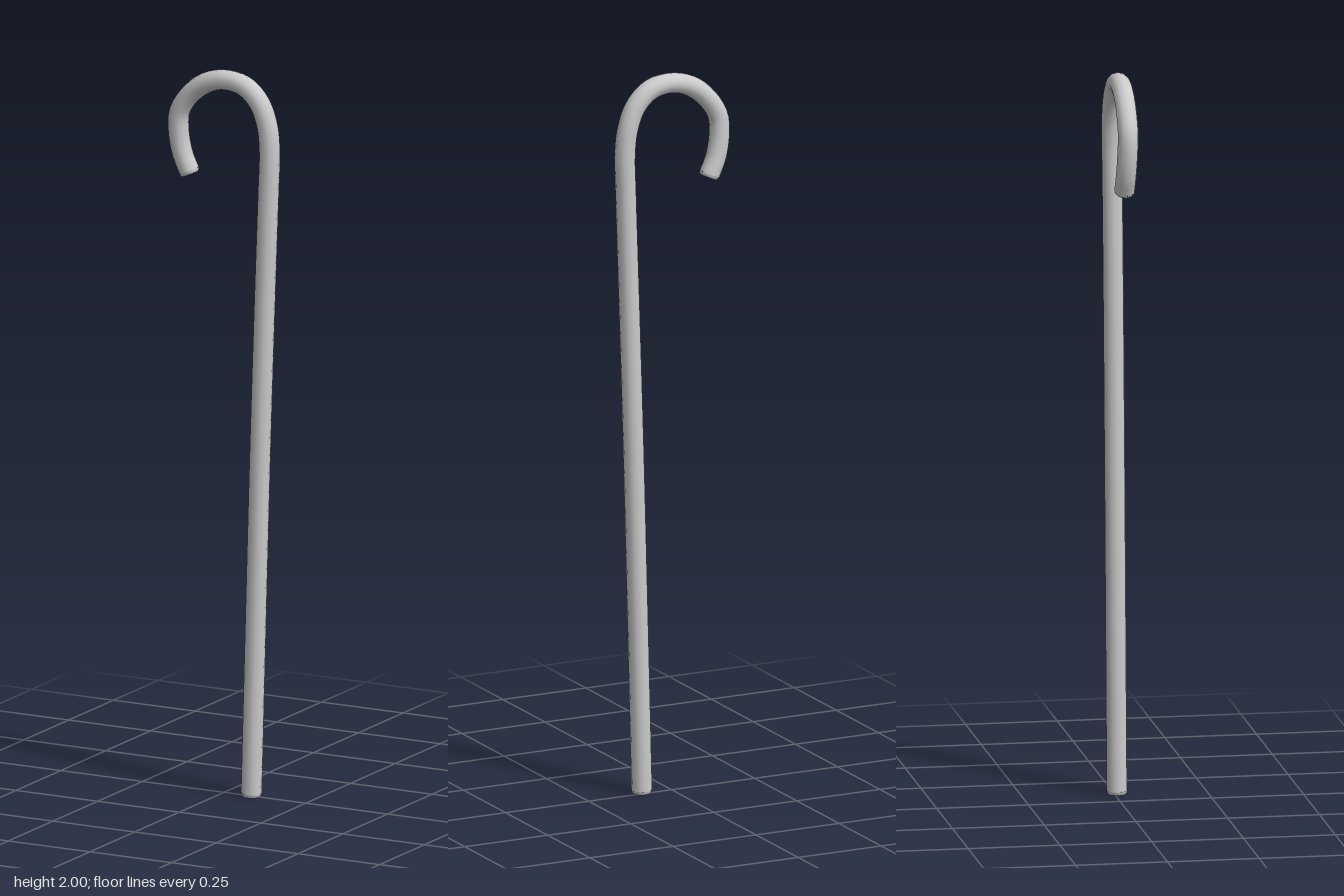
import * as THREE from 'three';

const RADIUS = 0.028;
const BEVEL = 0.01;
const SIDES = 12;

export function createModel() {
  const cane = new THREE.Group();
  cane.name = 'cane';
  const material = new THREE.MeshStandardMaterial({ color: 0xcccccc });

  // Centre line: slightly leaning shaft, then the hooked handle
  const path = new THREE.CatmullRomCurve3([
    [0.087, BEVEL, 0.006], [0.100, 0.5, 0.005], [0.114, 1.0, 0.004], [0.129, 1.45, 0.003],
    [0.137, 1.68, 0.002], [0.140, 1.79, 0.001], [0.132, 1.86, 0], [0.108, 1.92, 0],
    [0.065, 1.96, 0], [0.005, 1.972, 0], [-0.058, 1.955, 0], [-0.108, 1.915, -0.001],
    [-0.138, 1.865, -0.002], [-0.141, 1.81, -0.004], [-0.130, 1.75, -0.006], [-0.111, 1.706, -0.007],
  ].map((p) => new THREE.Vector3(...p)));

  const rod = new THREE.Mesh(new THREE.TubeGeometry(path, 140, RADIUS, SIDES, false), material);
  rod.name = 'shaftAndHook';
  cane.add(rod);

  // Bevelled caps closing both ends
  const rim = new THREE.Vector2(RADIUS * 0.84, BEVEL);
  const profile = [
    new THREE.Vector2(RADIUS, 0), new THREE.Vector2(RADIUS * 0.96, BEVEL * 0.6),
    rim, rim.clone(), new THREE.Vector2(0, BEVEL),
  ];
  const up = new THREE.Vector3(0, 1, 0);
  [['footCap', 0, -1], ['hookCap', 1, 1]].forEach(([name, t, sign]) => {
    const cap = new THREE.Mesh(new THREE.LatheGeometry(profile, SIDES), material);
    cap.name = name;
    cap.position.copy(path.getPointAt(t));
    cap.quaternion.setFromUnitVectors(up, path.getTangentAt(t).multiplyScalar(sign));
    cane.add(cap);
  });
  return cane;
}
